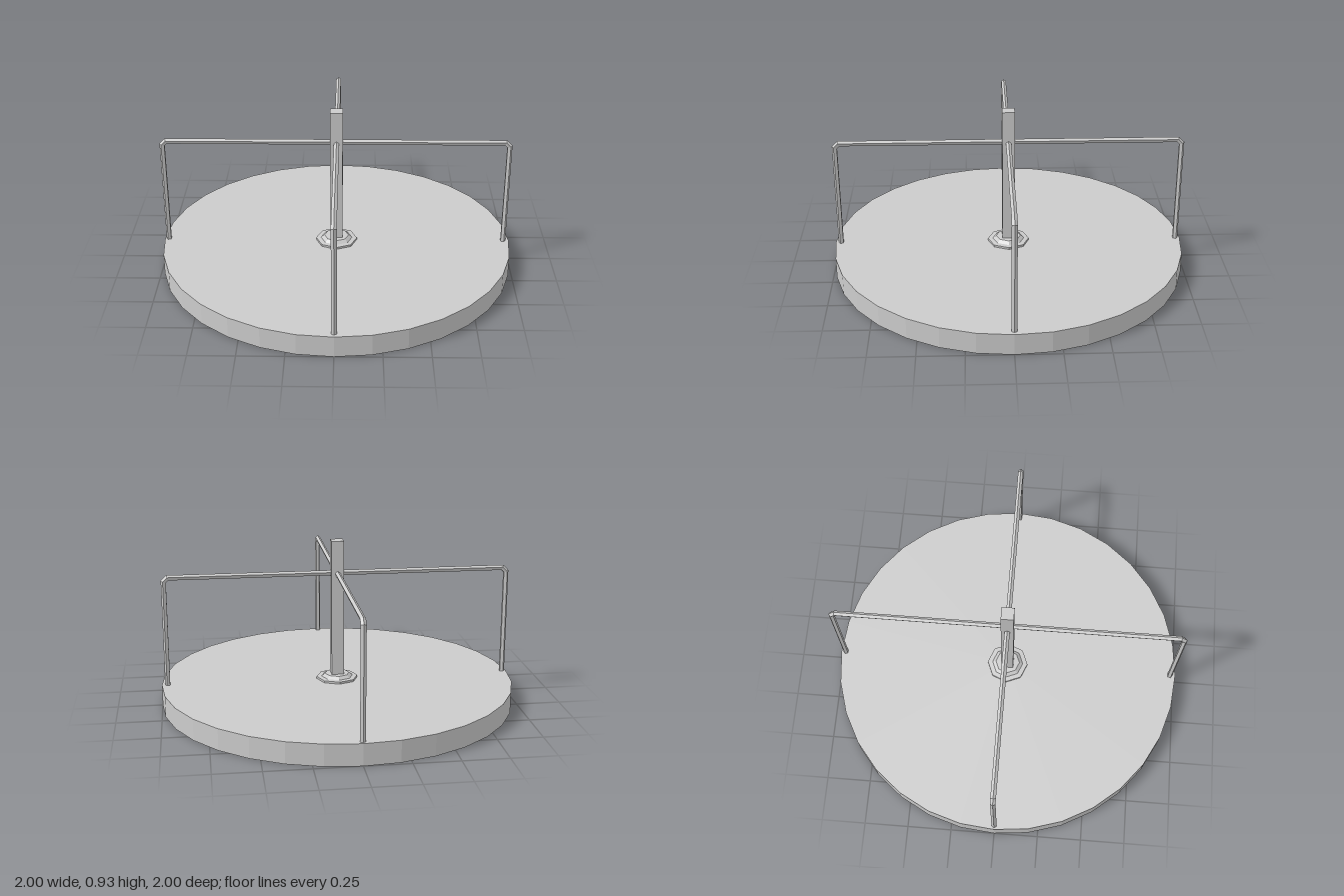
import * as THREE from 'three';

const grey = new THREE.MeshStandardMaterial({ color: 0xcccccc, flatShading: true });
const DECK_TOP = 0.12;

function part(name, geometry, y = 0) {
  const mesh = new THREE.Mesh(geometry, grey);
  mesh.name = name;
  mesh.position.y = y;
  return mesh;
}

// Pipe rising from the deck at distance reach, then bending in to the centre post
function railGeometry(reach) {
  const height = 0.743, radius = 0.0155, bevel = 0.022, miter = Math.tan(Math.PI / 8);
  const geo = new THREE.CylinderGeometry(radius, radius, 3, 5, 3, true, Math.PI / 2);
  const pos = geo.attributes.position;
  for (let i = 0; i < pos.count; i++) {
    const out = pos.getX(i);
    const ring = Math.round(pos.getY(i) + 1.5); // 0 = foot, 3 = centre post
    const [x, y] = [
      [reach + out, DECK_TOP - 0.01],
      [reach + out, height - bevel + out * miter],
      [reach - bevel + out * miter, height + out],
      [0.02, height + out],
    ][ring];
    pos.setXY(i, x, y);
  }
  geo.computeVertexNormals();
  return geo;
}

export function createModel() {
  const model = new THREE.Group();
  model.name = 'merryGoRound';

  // Round platform
  model.add(part('deck', new THREE.CylinderGeometry(1, 1, DECK_TOP, 32), DECK_TOP / 2));

  // Square centre post
  model.add(part('centrePost', new THREE.BoxGeometry(0.07, 0.81, 0.07), DECK_TOP + 0.405));

  // Stepped octagonal collar at the foot of the post
  const collar = [[0.118, 0], [0.118, 0.012], [0.09, 0.014], [0.07, 0.03], [0.02, 0.032]]
    .map(([r, y]) => new THREE.Vector2(r, y));
  model.add(part('postCollar', new THREE.LatheGeometry(collar, 8), DECK_TOP));

  // Four hand rails: left, back, right, front
  [0.966, 0.973, 0.976, 0.968].forEach((reach, i) => {
    const rail = part('handRail' + (i + 1), railGeometry(reach));
    rail.rotation.y = i * Math.PI / 2;
    model.add(rail);
  });

  return model;
}
